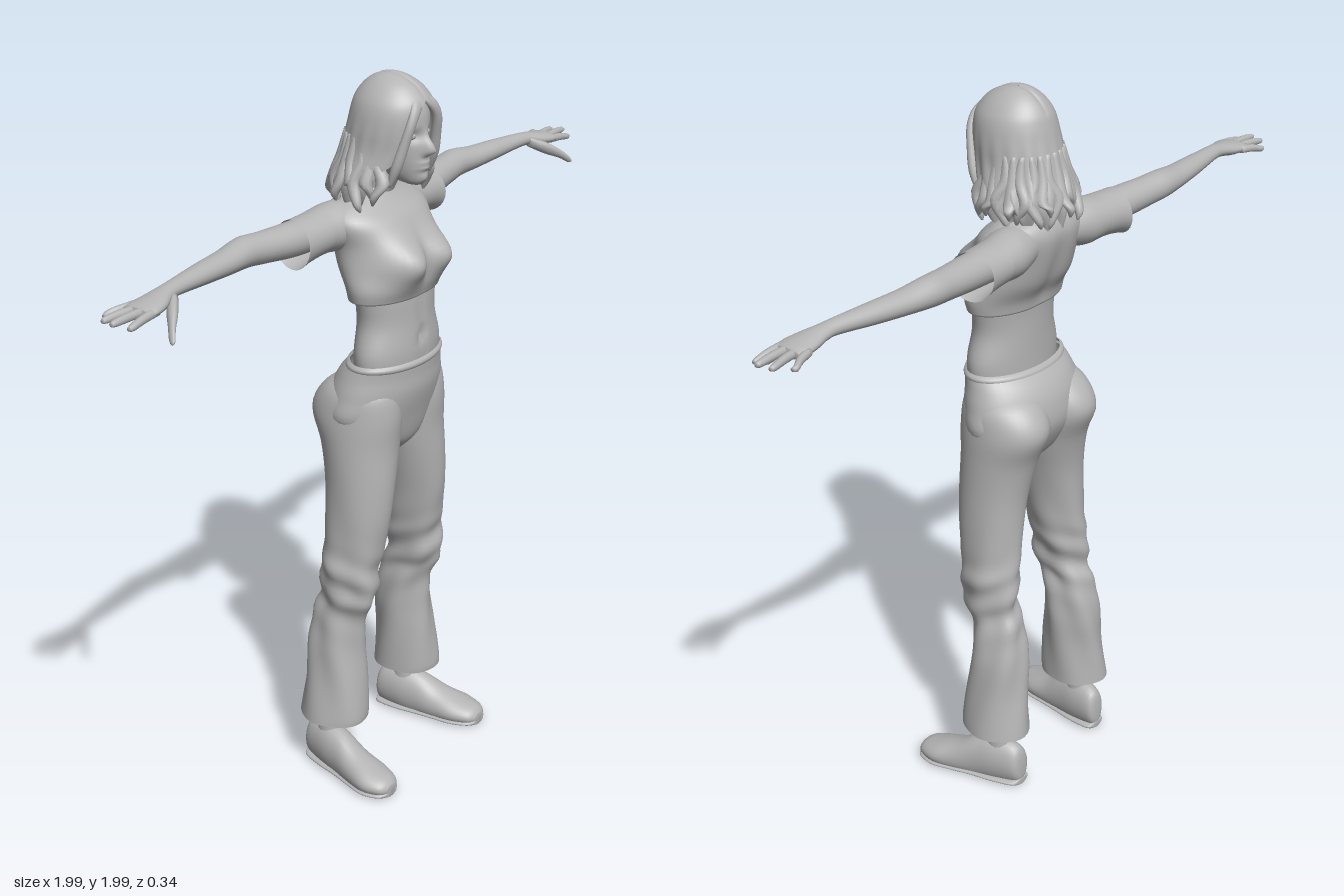
import * as THREE from 'three';
import { mergeVertices } from 'three/addons/utils/BufferGeometryUtils.js';

// coordinate slots (along, u, v) for each loft axis
const SLOTS = { y: [1, 0, 2], x: [0, 2, 1], z: [2, 1, 0] };
const bump = (d, w) => Math.exp(-(d * d) / (w * w));

// smooth interpolation of section rows
function sample(rows, s) {
  const i = Math.min(Math.floor(s), rows.length - 2), f = s - i;
  const at = k => rows[Math.max(0, Math.min(rows.length - 1, k))];
  const [a, b, c, d] = [at(i - 1), at(i), at(i + 1), at(i + 2)];
  return b.map((_, k) => 0.5 * (2 * b[k] + (c[k] - a[k]) * f
    + (2 * a[k] - 5 * b[k] + 4 * c[k] - d[k]) * f * f
    + (3 * b[k] - a[k] - 3 * c[k] + d[k]) * f * f * f));
}

// elliptical loft; rows are [along, centreU, centreV, radiusU, radiusV, frontGap]
function loft(axis, rows, { seg = 32, sub = 5, caps = true, deform } = {}) {
  const rings = [], slot = SLOTS[axis];
  const n = (rows.length - 1) * sub;
  for (let i = 0; i <= n; i++) rings.push(sample(rows, i / sub));
  if (caps) {
    const flat = r => [r[0], r[1], r[2], 0, 0, r[5] || 0];
    rings.unshift(flat(rings[0]));
    rings.push(flat(rings[rings.length - 1]));
  }
  const pos = [], index = [], p = new THREE.Vector3();
  rings.forEach(([t, cu, cv, ru, rv, g = 0]) => {
    const gap = Math.max(0, g);
    for (let j = 0; j <= seg; j++) {
      const a = Math.PI / 2 + gap + (j / seg) * (Math.PI * 2 - 2 * gap);
      p.setComponent(slot[0], t);
      p.setComponent(slot[1], cu + Math.max(0, ru) * Math.cos(a));
      p.setComponent(slot[2], cv + Math.max(0, rv) * Math.sin(a));
      if (deform) deform(p, a);
      pos.push(p.x, p.y, p.z);
    }
  });
  const w = seg + 1;
  for (let i = 0; i < rings.length - 1; i++) for (let j = 0; j < seg; j++) {
    const k = i * w + j;
    index.push(k, k + w, k + 1, k + 1, k + w, k + w + 1);
  }
  let geo = new THREE.BufferGeometry();
  geo.setAttribute('position', new THREE.Float32BufferAttribute(pos, 3));
  geo.setIndex(index);
  geo = mergeVertices(geo, 1e-5);
  geo.computeVertexNormals();
  return geo;
}

function mirrored(geo) {
  const g = geo.clone().scale(-1, 1, 1);
  g.setIndex(Array.from(g.index.array).reverse());
  g.computeVertexNormals();
  return g;
}

export function createModel() {
  const model = new THREE.Group();
  const clay = new THREE.MeshStandardMaterial({ color: 0xb4b4b4, side: THREE.DoubleSide });
  clay.name = 'grey clay';
  const add = (name, geo) => {
    const mesh = new THREE.Mesh(geo, clay);
    mesh.name = name;
    model.add(mesh);
  };
  const pair = (name, geo) => { add(name + 'Left', geo); add(name + 'Right', mirrored(geo)); };

  // bare midriff with navel
  add('midriff', loft('y', [[1.18, 0, .022, .15, .082], [1.26, 0, .025, .158, .085], [1.34, 0, .022, .137, .083],
    [1.4, 0, .02, .14, .083], [1.46, 0, .015, .15, .085]], {
    seg: 48, deform: p => {
      if (p.z > 0.05) p.z -= .012 * bump(p.x, .012) * bump(p.y - 1.3, .015) + .004 * bump(p.x, .012);
    } }));

  // cropped top with bust
  add('cropTop', loft('y', [[1.415, 0, .015, .165, .09], [1.45, 0, .013, .17, .098], [1.5, 0, -.007, .164, .108],
    [1.56, 0, -.022, .16, .112], [1.62, 0, -.04, .175, .103], [1.655, 0, -.055, .15, .08],
    [1.68, 0, -.057, .085, .06], [1.7, 0, -.05, .045, .045]], {
    seg: 64, deform: p => {
      if (p.z > 0) {
        const side = bump(Math.abs(p.x) - .07, .065), low = p.y < 1.515 ? .055 : .06;
        p.z += .062 * side * bump(p.y - 1.515, low) * Math.min(1, p.z / .05);
      } else p.z += .012 * bump(p.x, .03) * bump(p.y - 1.52, .1);
    } }));

  // flared short sleeves
  pair('sleeve', loft('x', [[.08, -.07, 1.61, .06, .055], [.14, -.078, 1.605, .068, .064], [.2, -.085, 1.603, .064, .058],
    [.26, -.088, 1.598, .062, .06], [.295, -.09, 1.593, .064, .064]], {
    caps: false, deform: (p, a) => { if (p.x > .2) p.x += .012 * Math.sin(a + 2); } }));

  // outstretched arms and palms
  pair('arm', loft('x', [[.14, -.085, 1.607, .05, .046], [.3, -.09, 1.61, .048, .045], [.4, -.1, 1.615, .043, .041],
    [.47, -.107, 1.62, .042, .039], [.55, -.1, 1.618, .038, .032], [.65, -.09, 1.62, .032, .027],
    [.76, -.077, 1.622, .024, .02], [.8, -.073, 1.619, .027, .019], [.84, -.068, 1.612, .039, .02],
    [.88, -.067, 1.608, .046, .017], [.905, -.069, 1.606, .042, .011]], { seg: 24 }));

  // fingers: [tip x, tip y, tip z, root z]
  [[.95, 1.597, -.128, -.104], [.988, 1.603, -.097, -.08], [.997, 1.605, -.062, -.056], [.975, 1.595, -.03, -.034]]
    .forEach(([x, y, z, rz], i) => pair('finger' + (i + 1), loft('x', [[.87, rz, 1.607, .011, .011],
      [(.87 + x) / 2, (rz + z) / 2, (1.611 + y) / 2, .0105, .011], [x - .015, z, y + .001, .009, .009],
      [x - .003, z, y, .006, .005]], { seg: 10, sub: 3 })));
  pair('thumb', loft('x', [[.79, -.055, 1.612, .015, .014], [.83, -.025, 1.592, .018, .018], [.865, .003, 1.571, .012, .013],
    [.885, .02, 1.553, .01, .01], [.893, .026, 1.547, .004, .004]], { seg: 12, sub: 3 }));

  // trousers: hips, waistband and flared legs
  add('hips', loft('y', [[.96, 0, -.01, .03, .05], [1.0, 0, -.012, .12, .085], [1.08, 0, -.02, .2, .115],
    [1.15, 0, -.01, .193, .122], [1.2, 0, .002, .178, .112], [1.235, 0, .019, .167, .097]], { seg: 48, caps: false }));
  add('waistband', loft('y', [[1.222, 0, .015, .166, .1], [1.228, 0, .017, .171, .102], [1.236, 0, .018, .17, .1],
    [1.242, 0, .02, .162, .092]], { seg: 48, sub: 2, caps: false }));
  pair('trouserLeg', loft('y', [[.17, .18, -.064, .086, .101], [.2, .178, -.062, .084, .1], [.3, .17, -.061, .077, .09],
    [.4, .163, -.063, .073, .083], [.5, .157, -.05, .062, .078], [.56, .157, -.025, .06, .085],
    [.64, .153, -.025, .071, .085], [.7, .143, -.018, .072, .088], [.8, .133, -.01, .078, .095],
    [.9, .12, -.01, .088, .1], [1.0, .106, -.02, .1, .11], [1.09, .1, -.034, .102, .13],
    [1.16, .095, -.02, .09, .108], [1.2, .085, 0, .05, .06]], {
    seg: 40, caps: false, deform: (p, a) => {
      // soft cloth folds around the knee and shin
      const k = .004 * Math.sin(5 * a + 14 * p.y) * bump(p.y - .45, .3)
        + .005 * Math.sin(70 * p.y + 2 * a) * bump(p.y - .58, .1);
      p.x += k * Math.cos(a);
      p.z += k * Math.sin(a);
    } }));

  // ankles, shoes and soles
  pair('ankle', loft('y', [[.07, .186, -.075, .036, .045], [.14, .186, -.075, .03, .037], [.2, .184, -.075, .032, .038],
    [.28, .178, -.07, .038, .045]], { seg: 20 }));
  const shoe = [[-.155, .045, .176, .022, .014], [-.142, .062, .177, .058, .034], [-.08, .062, .187, .074, .046],
    [-.02, .05, .198, .073, .049], [.04, .035, .211, .055, .055], [.1, .03, .222, .038, .06],
    [.15, .026, .226, .025, .044], [.168, .022, .226, .012, .02]];
  pair('shoe', loft('z', shoe, { seg: 28, deform: p => { p.y = Math.max(p.y, .006); } }));
  pair('sole', loft('z', shoe.map(([z, , x, , r]) => [z, .01, x, .01, r + .003]), { seg: 24 }));

  // neck, head with modelled face
  add('neck', loft('y', [[1.62, 0, -.055, .07, .055], [1.67, 0, -.045, .05, .048], [1.72, 0, -.02, .046, .047],
    [1.78, 0, 0, .048, .05]]));
  add('head', loft('y', [[1.712, 0, .078, .018, .022], [1.725, 0, .06, .035, .047], [1.755, 0, .04, .053, .073],
    [1.8, 0, .025, .068, .089], [1.85, 0, .017, .075, .096], [1.9, 0, .015, .075, .095],
    [1.94, 0, .012, .06, .08], [1.965, 0, .01, .03, .04]], {
    seg: 72, sub: 8, deform: p => {
      if (p.z < .05) return;
      const x = Math.abs(p.x);
      p.z += .03 * bump(x, .013) * bump(p.y - 1.803, p.y < 1.803 ? .012 : .032);
      p.z += .008 * bump(x, .022) * (bump(p.y - 1.772, .006) + bump(p.y - 1.758, .006));
      p.z -= .012 * bump(x - .032, .018) * bump(p.y - 1.842, .014);
      p.z += .007 * bump(x, .02) * bump(p.y - 1.73, .014);
    } }));
  pair('eyelid', new THREE.SphereGeometry(.014, 16, 12).scale(1, .6, .6).translate(.031, 1.842, .092));

  // shoulder-length hair shell, open at the face
  add('hair', loft('y', [[1.665, 0, -.04, .108, .1, 1.3], [1.72, 0, -.032, .135, .118, 1.1], [1.8, 0, -.005, .114, .12, .72],
    [1.86, 0, .007, .108, .116, .62], [1.905, 0, .012, .1, .11, .42], [1.935, 0, .012, .087, .099, 0],
    [1.965, 0, .01, .062, .073, 0], [1.985, 0, .006, .032, .038, 0], [1.993, 0, .004, .002, .002, 0]], {
    seg: 120, caps: false, deform: (p, a) => {
      const w = Math.max(0, (1.9 - p.y) / .24);
      const k = 1 + .035 * w * Math.sin(17 * a + 9 * p.y);
      p.x *= k;
      p.z *= k;
      p.y += .02 * w * w * Math.sin(13 * a);
      p.y -= .006 * bump(p.x, .006) * bump(p.z, .12) * (p.y > 1.93 ? 1 : 0);
    } }));

  // wavy locks with flicked ends around the hair
  for (let i = 0; i < 19; i++) {
    const a = -Math.PI / 2 + (i - 9) * .235, c = Math.cos(a), s = Math.sin(a);
    const drop = .018 * Math.sin(i * 2.4), flick = .012 * Math.sin(i * 3.7), turn = .012 * Math.cos(i * 1.9);
    const at = (y, rx, rz, r, sway) => [y, rx * c - s * sway, -.02 + rz * s + c * sway, r, r];
    add('hairLock' + (i + 1), loft('y', [at(1.672 + drop, .128 + flick, .132 + flick, .003, turn * 1.6),
      at(1.695 + drop, .133 + flick, .133 + flick, .012, turn), at(1.73, .126, .118, .018, -turn),
      at(1.78, .106, .1, .017, turn * .5), at(1.84, .097, .09, .008, 0)], { seg: 10, sub: 4 }));
  }

  // front strands sweeping beside the face
  pair('fringe', loft('y', [[1.72, .088, .062, .006, .006], [1.77, .082, .08, .016, .014], [1.83, .071, .096, .016, .013],
    [1.88, .057, .107, .017, .012], [1.92, .032, .106, .021, .01], [1.95, .01, .085, .012, .01]], { seg: 14 }));

  return model;
}
